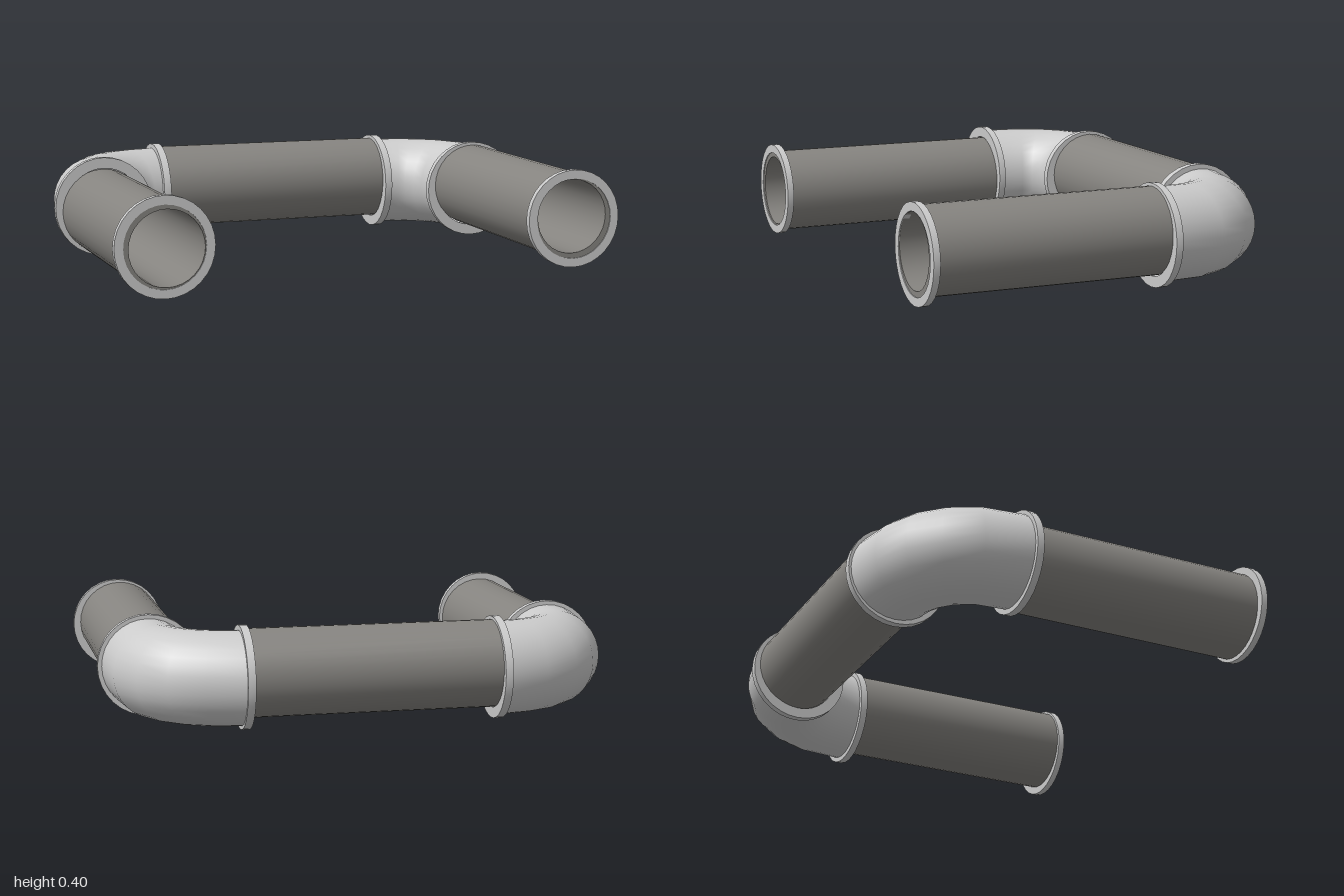
import * as THREE from 'three';
import { toCreasedNormals } from 'three/addons/utils/BufferGeometryUtils.js';

const SIDES = 32;
const fitting = new THREE.MeshStandardMaterial({ color: 0xcccccc, side: THREE.DoubleSide });
const pipe = new THREE.MeshStandardMaterial({ color: 0x868480, side: THREE.DoubleSide });

// Hollow cylinder centred on a point, lying along x or z
function ring(name, material, axis, outer, inner, length, position) {
  const h = length / 2;
  const profile = [[inner, -h], [outer, -h], [outer, h], [inner, h], [inner, -h]];
  const lathe = new THREE.LatheGeometry(profile.map(([r, y]) => new THREE.Vector2(r, y)), SIDES);
  if (axis === 'z') lathe.rotateX(Math.PI / 2);
  else lathe.rotateZ(Math.PI / 2);
  const mesh = new THREE.Mesh(toCreasedNormals(lathe, 0.6), material);
  mesh.name = name;
  mesh.position.set(...position);
  return mesh;
}

// Bent tube: each section spans an outer and an inner point of the bend in plan
function elbow(name, side) {
  const sections = [
    [0.985, -0.215, 0.625, -0.215],
    [0.96, -0.42, 0.617, -0.315],
    [0.89, -0.555, 0.595, -0.35],
    [0.79, -0.655, 0.565, -0.372],
    [0.655, -0.72, 0.54, -0.383],
    [0.495, -0.752, 0.495, -0.39],
  ];
  const positions = [];
  const index = [];
  sections.forEach(([ox, oz, ix, iz], i) => {
    for (let j = 0; j < SIDES; j++) {
      const a = (j / SIDES) * Math.PI * 2;
      const c = Math.cos(a) / 2;
      positions.push(
        side * ((ox + ix) / 2 + (ox - ix) * c),
        0.204 + 0.18 * Math.sin(a),
        (oz + iz) / 2 + (oz - iz) * c,
      );
      if (i === 0) continue;
      const k = (j + 1) % SIDES;
      const a0 = (i - 1) * SIDES + j, a1 = (i - 1) * SIDES + k;
      const b0 = i * SIDES + j, b1 = i * SIDES + k;
      if (side > 0) index.push(a0, a1, b0, a1, b1, b0);
      else index.push(a0, b0, a1, a1, b0, b1);
    }
  });
  const geometry = new THREE.BufferGeometry();
  geometry.setAttribute('position', new THREE.Float32BufferAttribute(positions, 3));
  geometry.setIndex(index);
  geometry.computeVertexNormals();
  const mesh = new THREE.Mesh(geometry, fitting);
  mesh.name = name;
  return mesh;
}

export function createModel() {
  const model = new THREE.Group();
  model.name = 'pipeBend';

  // Cross pipe at the back
  model.add(ring('backPipe', pipe, 'x', 0.168, 0.143, 0.98, [0, 0.222, -0.568]));

  // The legs sit at slightly different heights
  for (const [label, s, legY, flangeY] of [['left', 1, 0.22, 0.211], ['right', -1, 0.185, 0.19]]) {
    model.add(
      ring(label + 'Pipe', pipe, 'z', 0.168, 0.143, 0.965, [s * 0.803, legY, 0.272]),
      ring(label + 'EndFlange', fitting, 'z', 0.189, 0.155, 0.026, [s * 0.811, flangeY, 0.745]),
      elbow(label + 'Elbow', s),
      ring(label + 'FrontCollar', fitting, 'z', 0.198, 0.155, 0.028, [s * 0.802, 0.202, -0.214]),
      ring(label + 'BackCollar', fitting, 'x', 0.197, 0.155, 0.03, [s * 0.49, 0.206, -0.563]),
    );
  }
  return model;
}
